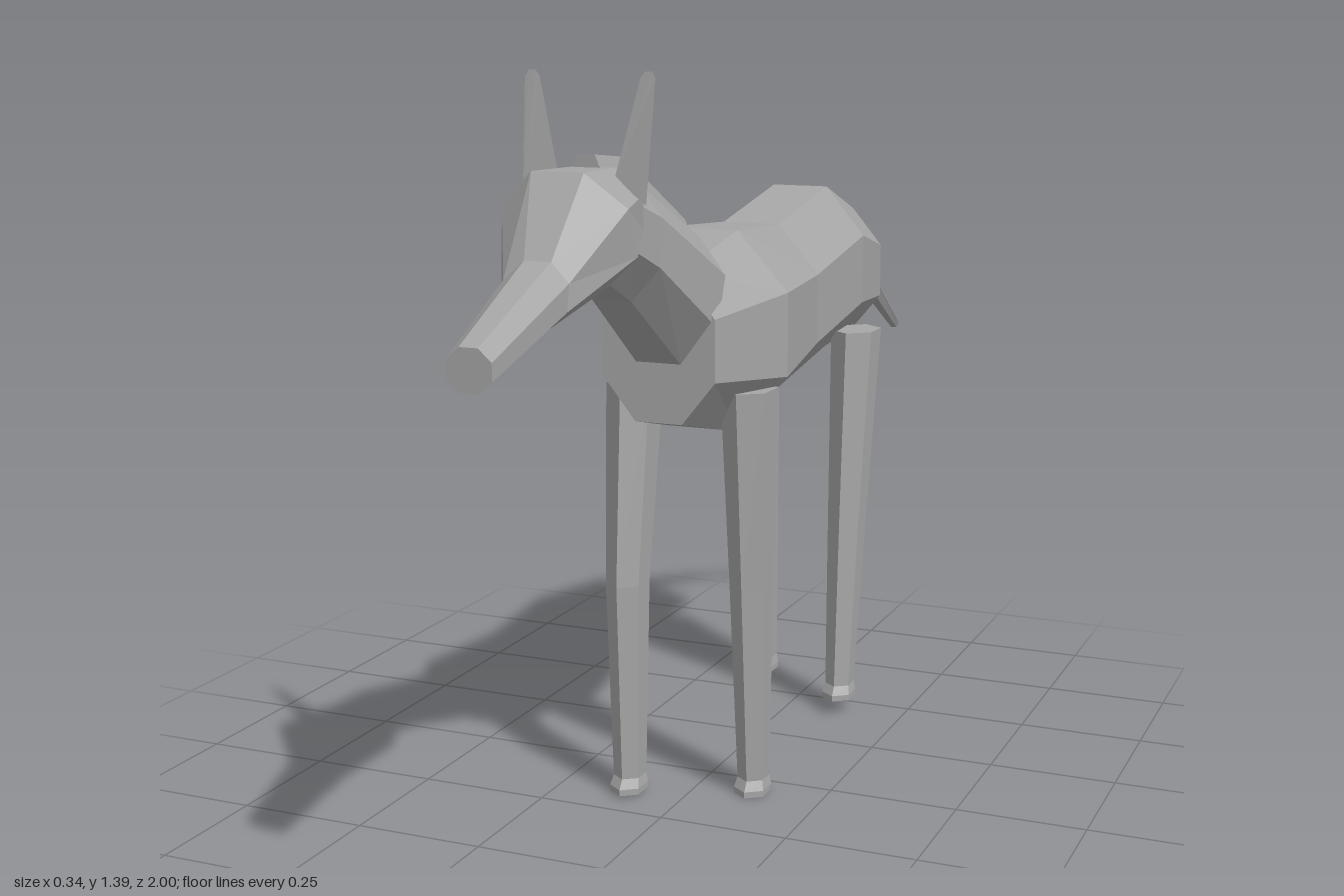
import * as THREE from 'three';

const coat = new THREE.MeshStandardMaterial({ color: 0xa6a6a6, flatShading: true });
coat.name = 'grey coat';
const coatThin = coat.clone();
coatThin.name = 'grey coat thin';
coatThin.side = THREE.DoubleSide;

// Capped skin through rings; each section is [centre, half-axis U, half-axis V],
// and the sections advance along U x V. 'turn' rotates the polygon.
function loft(name, sections, sides, turn) {
  const pos = [], idx = [];
  for (const [c, u, v] of sections) {
    for (let i = 0; i < sides; i++) {
      const a = (i / sides) * Math.PI * 2 + turn;
      const k = 1 / Math.cos(turn);
      const cu = Math.cos(a) * k, cv = Math.sin(a) * k;
      pos.push(c[0] + u[0] * cu + v[0] * cv, c[1] + u[1] * cu + v[1] * cv, c[2] + u[2] * cu + v[2] * cv);
    }
  }
  for (let s = 0; s < sections.length - 1; s++) {
    for (let i = 0; i < sides; i++) {
      const j = (i + 1) % sides;
      const a = s * sides + i, b = s * sides + j, c = a + sides, d = b + sides;
      idx.push(a, b, d, a, d, c);
    }
  }
  const last = (sections.length - 1) * sides;
  for (let i = 1; i < sides - 1; i++) {
    idx.push(0, i + 1, i, last, last + i, last + i + 1);
  }
  const geo = new THREE.BufferGeometry();
  geo.setAttribute('position', new THREE.Float32BufferAttribute(pos, 3));
  geo.setIndex(idx);
  const flat = geo.toNonIndexed();
  flat.computeVertexNormals();
  const mesh = new THREE.Mesh(flat, coat);
  mesh.name = name;
  return mesh;
}

// Section running from a bottom point to a top point in the side plane
const slice = (x, halfWidth, zBottom, yBottom, zTop, yTop) => [
  [x, (yBottom + yTop) / 2, (zBottom + zTop) / 2],
  [halfWidth, 0, 0],
  [0, (yTop - yBottom) / 2, (zTop - zBottom) / 2],
];
// Level section for the legs
const level = (x, y, z, rx, rz) => [[x, y, z], [rx, 0, 0], [0, 0, rz]];

function ear(side) {
  // Flat blade leaning slightly back, with its outer edge nearly upright
  const pts = side < 0
    ? [[-0.1, 1.17, 0.565], [-0.04, 1.23, 0.555], [-0.08, 1.38, 0.535], [-0.088, 1.39, 0.534], [-0.1, 1.39, 0.534], [-0.107, 1.38, 0.535]]
    : [[0.062, 1.22, 0.555], [0.122, 1.18, 0.565], [0.126, 1.38, 0.535], [0.12, 1.39, 0.534], [0.108, 1.39, 0.534], [0.1, 1.38, 0.535]];
  const geo = new THREE.BufferGeometry();
  geo.setAttribute('position', new THREE.Float32BufferAttribute(pts.flat(), 3));
  geo.setIndex([0, 1, 2, 0, 2, 3, 0, 3, 4, 0, 4, 5]);
  geo.computeVertexNormals();
  const mesh = new THREE.Mesh(geo, coatThin);
  mesh.name = side < 0 ? 'rightEar' : 'leftEar';
  return mesh;
}

export function createModel() {
  const model = new THREE.Group();
  model.name = 'longLeggedAnimal';
  const eighth = Math.PI / 8;

  // Trunk, rump to chest
  model.add(loft('body', [
    slice(0, 0.11, -0.685, 0.79, -0.685, 1.055),
    slice(0, 0.14, -0.475, 0.785, -0.475, 1.12),
    slice(0, 0.14, -0.2, 0.745, -0.2, 1.07),
    slice(0, 0.172, 0.05, 0.707, 0.05, 1.085),
    slice(0, 0.11, 0.25, 0.755, 0.25, 1.03),
  ], 8, eighth));

  // Neck rising forward from the chest
  model.add(loft('neck', [
    slice(0, 0.105, 0.25, 0.865, 0.165, 1.085),
    slice(0, 0.088, 0.44, 1.003, 0.42, 1.205),
    slice(0.005, 0.078, 0.54, 1.05, 0.52, 1.235),
  ], 8, eighth));

  // Ridge of mane along the top of the neck
  model.add(loft('mane', [
    slice(0, 0.033, 0.165, 1.03, 0.165, 1.12),
    slice(0, 0.033, 0.42, 1.16, 0.42, 1.25),
    slice(0.005, 0.03, 0.54, 1.18, 0.54, 1.262),
  ], 6, 0.0).translateY(0));

  // Head, turned a little to its left, with a long snout
  model.add(loft('head', [
    slice(0.012, 0.085, 0.52, 1.095, 0.52, 1.235),
    slice(0.01, 0.112, 0.575, 1.045, 0.655, 1.237),
    slice(0.022, 0.057, 0.77, 1.003, 0.75, 1.108),
    slice(0.038, 0.038, 1.0, 0.946, 1.0, 1.014),
  ], 8, eighth));
  model.add(ear(-1), ear(1));

  // Drooping tail, tip to root
  model.add(loft('tail', [
    slice(0.043, 0.013, -1.0, 0.745, -0.995, 0.773),
    slice(0.022, 0.023, -0.87, 0.843, -0.855, 0.905),
    slice(-0.003, 0.034, -0.66, 0.965, -0.66, 1.04),
  ], 6, 0));

  // Legs: [name, side, topY, topZ, kneeZ, ankleZ, footY]
  const legs = [
    ['frontLeftLeg', 1, 0.8, 0.097, 0.076, 0.055, 0.0],
    ['frontRightLeg', -1, 0.8, 0.1, 0.147, 0.148, 0.005],
    ['hindLeftLeg', 1, 0.82, -0.512, -0.478, -0.45, 0.03],
    ['hindRightLeg', -1, 0.82, -0.515, -0.54, -0.56, 0.03],
  ];
  for (const [name, side, topY, topZ, kneeZ, ankleZ, footY] of legs) {
    model.add(loft(name, [
      level(side * 0.115, topY, topZ, 0.044, 0.058),
      level(side * 0.112, 0.42, kneeZ, 0.034, 0.044),
      level(side * 0.11, footY + 0.03, ankleZ, 0.026, 0.032),
      level(side * 0.11, footY + 0.012, ankleZ + 0.005, 0.03, 0.038),
      level(side * 0.11, footY, ankleZ + 0.005, 0.03, 0.038),
    ], 6, Math.PI / 6));
  }
  return model;
}
